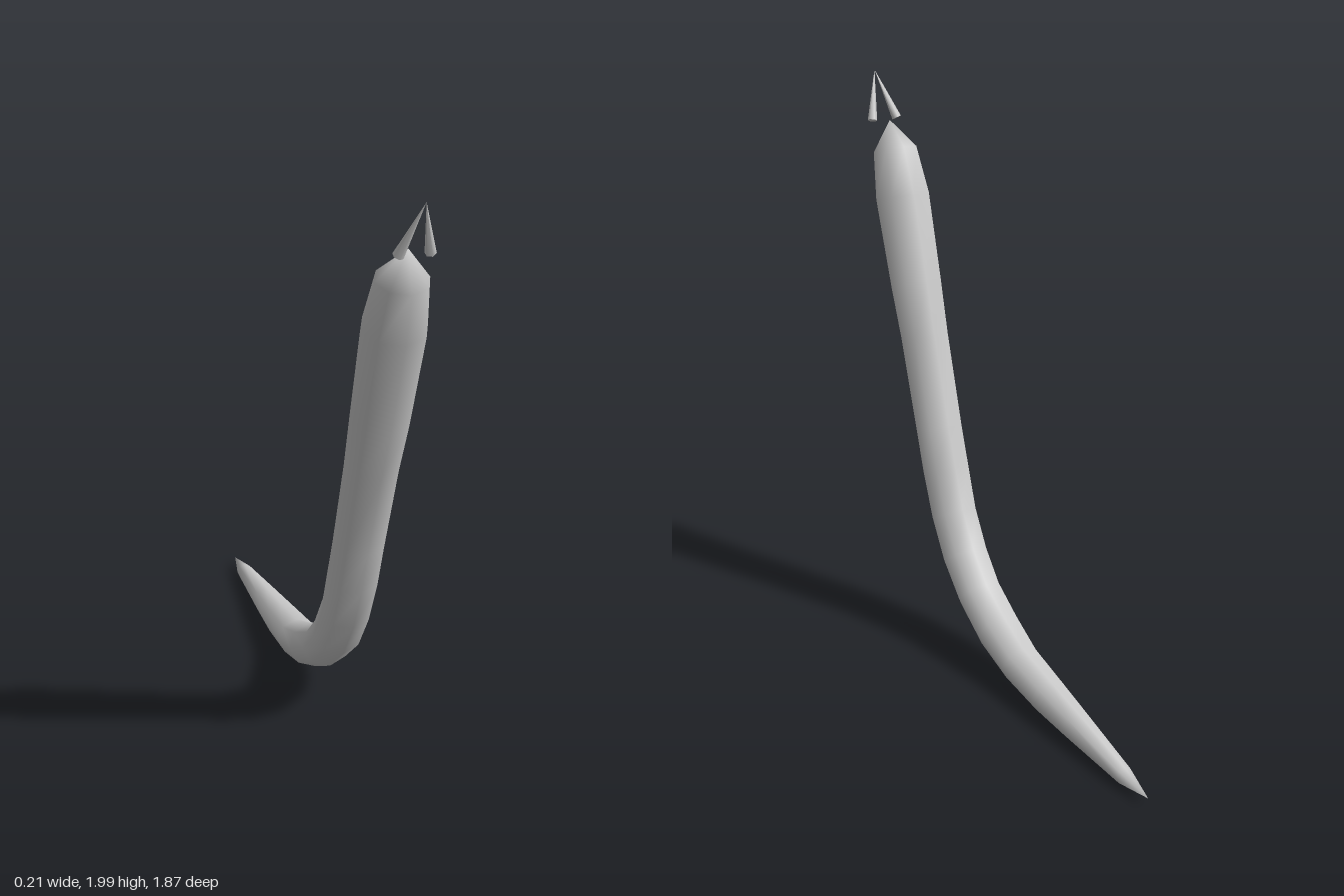
import * as THREE from 'three';
import { mergeVertices } from 'three/addons/utils/BufferGeometryUtils.js';

const SIDES = 8;

// Body rings from head to tail: [belly z, belly y, back z, back y, half width]
const RINGS = [
  [0.82, 1.835, 0.82, 1.835, 0],
  [0.855, 1.71, 0.71, 1.76, 0.084],
  [0.82, 1.55, 0.64, 1.605, 0.104],
  [0.72, 1.24, 0.55, 1.31, 0.098],
  [0.655, 1.07, 0.495, 1.12, 0.092],
  [0.55, 0.76, 0.395, 0.80, 0.09],
  [0.5, 0.6, 0.345, 0.66, 0.09],
  [0.43, 0.435, 0.29, 0.51, 0.088],
  [0.34, 0.29, 0.21, 0.385, 0.087],
  [0.21, 0.17, 0.12, 0.29, 0.085],
  [0.055, 0.08, -0.01, 0.22, 0.083],
  [-0.12, 0.03, -0.15, 0.16, 0.076],
  [-0.32, 0.008, -0.34, 0.13, 0.067],
  [-0.5, 0.004, -0.51, 0.105, 0.054],
  [-0.8, 0.003, -0.8, 0.062, 0.03],
  [-0.935, 0.03, -0.935, 0.03, 0],
];

// Skins the rings into one closed, smooth surface
function bodyGeometry() {
  const positions = [];
  const index = [];
  for (const [z0, y0, z1, y1, w] of RINGS) {
    for (let j = 0; j < SIDES; j++) {
      const a = (j / SIDES) * Math.PI * 2;
      const c = Math.cos(a) / 2;
      positions.push(
        Math.sin(a) * w,
        (y0 + y1) / 2 + (y0 - y1) * c,
        (z0 + z1) / 2 + (z0 - z1) * c,
      );
    }
  }
  const last = RINGS.length - 2;
  for (let i = 0; i <= last; i++) {
    for (let j = 0; j < SIDES; j++) {
      const k = (j + 1) % SIDES;
      const a = i * SIDES + j, b = i * SIDES + k;
      const c = a + SIDES, d = b + SIDES;
      if (i < last) index.push(b, c, d);
      if (i > 0) index.push(a, c, b);
      if (i === last) index.push(b, c, d);
    }
  }
  // The end rings are points: their single triangles fan to the neighbouring ring
  const geometry = new THREE.BufferGeometry();
  geometry.setAttribute('position', new THREE.Float32BufferAttribute(positions, 3));
  geometry.setIndex(index);
  const merged = mergeVertices(geometry, 1e-4);
  merged.computeVertexNormals();
  return merged;
}

export function createModel() {
  const group = new THREE.Group();
  const material = new THREE.MeshStandardMaterial({ color: 0xcccccc });

  const body = new THREE.Mesh(bodyGeometry(), material);
  body.name = 'body';
  group.add(body);

  // Two slim fangs whose points meet ahead of the head
  const tip = new THREE.Vector3(0, 1.995, 0.937);
  const up = new THREE.Vector3(0, 1, 0);
  for (const side of [1, -1]) {
    const base = new THREE.Vector3(side * 0.048, 1.83, 0.863);
    const axis = tip.clone().sub(base);
    const fang = new THREE.Mesh(new THREE.ConeGeometry(0.017, axis.length(), 6), material);
    fang.name = side > 0 ? 'leftFang' : 'rightFang';
    fang.position.copy(base).add(tip).multiplyScalar(0.5);
    fang.quaternion.setFromUnitVectors(up, axis.normalize());
    group.add(fang);
  }
  return group;
}
